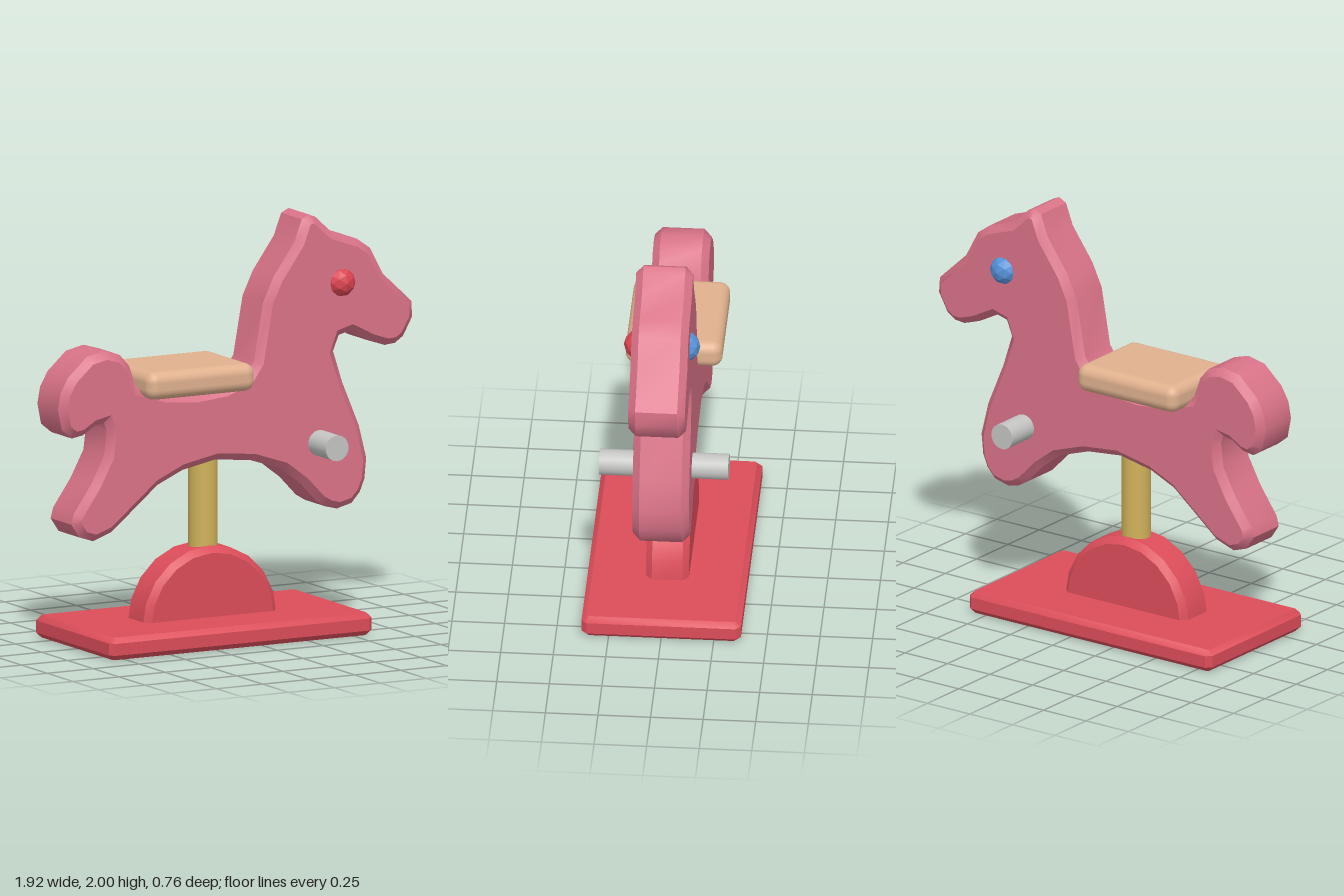
import * as THREE from 'three';
import { toCreasedNormals } from 'three/addons/utils/BufferGeometryUtils.js';
import { RoundedBoxGeometry } from 'three/addons/geometries/RoundedBoxGeometry.js';

const mat = (name, color, flatShading = false) => {
  const m = new THREE.MeshStandardMaterial({ color, flatShading });
  m.name = name;
  return m;
};

// Board cut to an outline, chamfered inward on both faces, centred on z = 0
function board(points, thickness, bevel) {
  const shape = new THREE.Shape(points.map(([x, y]) => new THREE.Vector2(x, y)));
  const geo = new THREE.ExtrudeGeometry(shape, {
    depth: thickness - 2 * bevel, bevelEnabled: true, bevelSegments: 1,
    bevelThickness: bevel, bevelSize: bevel, bevelOffset: -bevel,
  });
  geo.translate(0, 0, bevel - thickness / 2);
  return toCreasedNormals(geo, 0.7);
}

// Horse outline, counter-clockwise
const horse = [
  // hind hoof, belly, front hoof
  [-0.775, 0.53], [-0.675, 0.565], [-0.425, 0.77], [-0.29, 0.83], [-0.11, 0.865],
  [0.08, 0.845], [0.245, 0.79], [0.35, 0.71], [0.44, 0.615], [0.49, 0.585], [0.55, 0.57],
  [0.63, 0.59], [0.675, 0.64], [0.70, 0.70], [0.71, 0.80],
  // chest, throat, muzzle
  [0.67, 0.96], [0.58, 1.175], [0.53, 1.33], [0.56, 1.405], [0.615, 1.42],
  [0.72, 1.365], [0.81, 1.335], [0.865, 1.34], [0.91, 1.37], [0.96, 1.46], [0.955, 1.535],
  // face, ear, neck
  [0.80, 1.68], [0.73, 1.81], [0.66, 1.86], [0.515, 1.91], [0.435, 1.985], [0.40, 2.0],
  [0.36, 1.98], [0.32, 1.875], [0.205, 1.715], [0.15, 1.6], [0.10, 1.32], [0.05, 1.25],
  // back and tail
  [-0.07, 1.205], [-0.23, 1.19], [-0.39, 1.205], [-0.54, 1.25], [-0.58, 1.36],
  [-0.63, 1.415], [-0.715, 1.44], [-0.81, 1.42], [-0.91, 1.33], [-0.95, 1.26],
  [-0.965, 1.18], [-0.945, 1.08], [-0.89, 1.035], [-0.83, 1.045], [-0.765, 1.085],
  // hind leg
  [-0.715, 1.095], [-0.70, 1.055], [-0.715, 0.935], [-0.785, 0.805], [-0.88, 0.67],
  [-0.893, 0.62], [-0.85, 0.555],
];

export function createModel() {
  const group = new THREE.Group();
  const pink = mat('pink', 0xd97388);
  const red = mat('red', 0xdc4d5a);
  const redEye = mat('eyeRed', 0xdc4552, true);
  const blue = mat('blue', 0x5591d8, true);
  const tan = mat('tan', 0xe0b18e);
  const brass = mat('brass', 0xd0b25a);
  const grey = mat('grey', 0xc4c4c2);

  const add = (name, geo, material, x = 0, y = 0, z = 0) => {
    const mesh = new THREE.Mesh(geo, material);
    mesh.name = name;
    mesh.position.set(x, y, z);
    group.add(mesh);
    return mesh;
  };

  // Base plate with clipped corners
  const w = 0.714, d = 0.379, c = 0.025;
  const plate = [
    [-w + c, -d], [w - c, -d], [w, -d + c], [w, d - c],
    [w - c, d], [-w + c, d], [-w, d - c], [-w, -d + c],
  ];
  add('basePlate', board(plate, 0.108, c).rotateX(-Math.PI / 2), red, -0.119, 0.054, 0);

  // Half-round support and post
  const dome = [[-0.363, -0.03], [0.363, -0.03]];
  for (let i = 0; i <= 10; i++) {
    const a = (i * Math.PI) / 10;
    dome.push([0.363 * Math.cos(a), 0.363 * Math.sin(a)]);
  }
  add('support', board(dome, 0.205, 0.03), red, -0.127, 0.085, -0.002);
  add('post', new THREE.CylinderGeometry(0.07, 0.07, 0.55, 24), brass, -0.124, 0.655, 0);

  // Horse body
  add('body', board(horse, 0.27, 0.035), pink, 0, 0, -0.004);

  // Seat and handle bar
  add('seat', new RoundedBoxGeometry(0.585, 0.134, 0.46, 4, 0.05), tan, -0.237, 1.263, -0.02);
  const bar = new THREE.CylinderGeometry(0.062, 0.062, 0.614, 24).rotateX(Math.PI / 2);
  add('handleBar', bar, grey, 0.437, 0.902, -0.005);

  // Eyes, one colour on each side
  const eye = new THREE.IcosahedronGeometry(0.074, 1);
  add('rightEye', eye, redEye, 0.563, 1.663, 0.104);
  add('leftEye', eye, blue, 0.563, 1.663, -0.112);

  return group;
}
